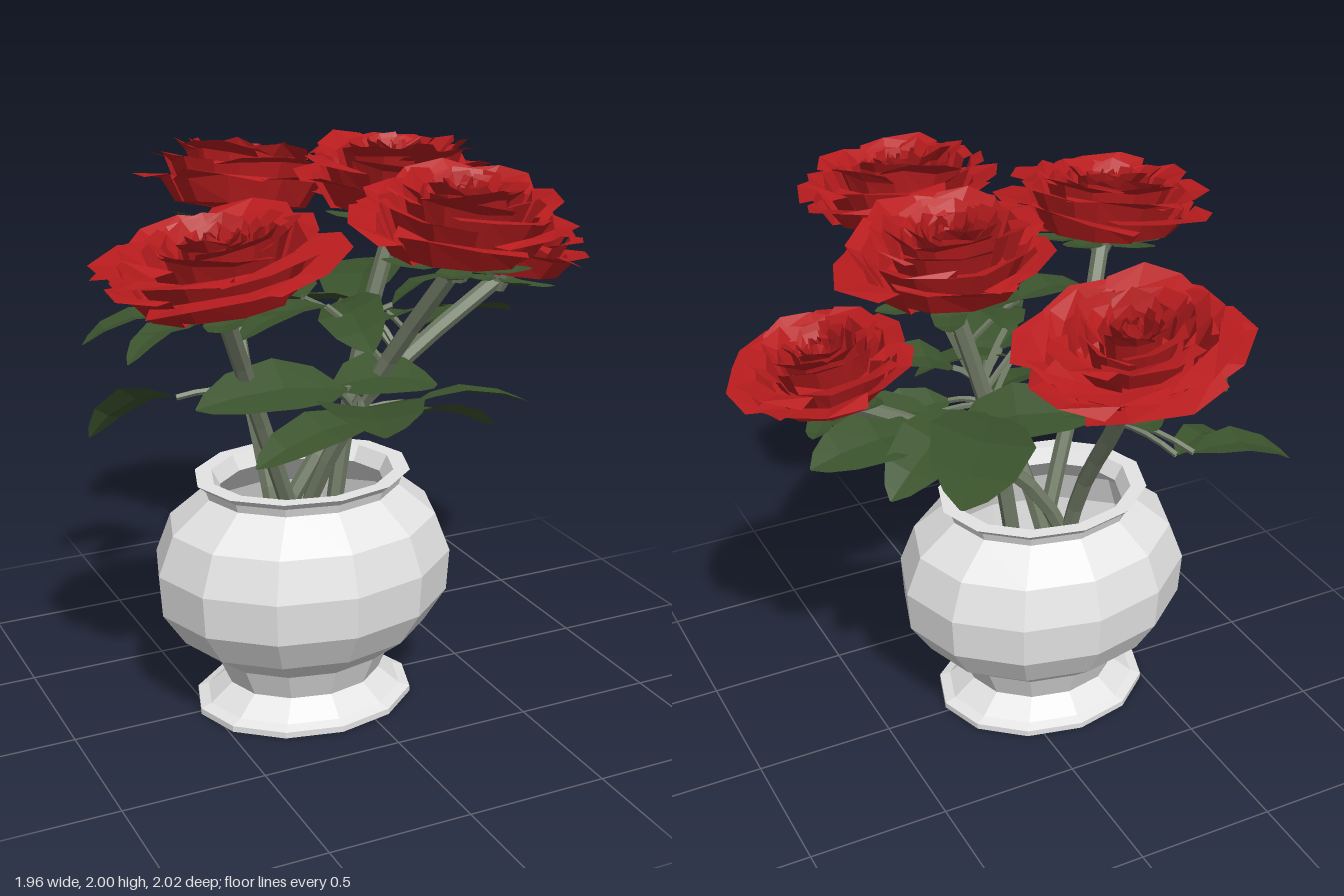
import * as THREE from 'three';
import { mergeGeometries } from 'three/addons/utils/BufferGeometryUtils.js';

const V = (p) => new THREE.Vector3(...p);

// Small seeded generator for petal irregularity
function makeRandom(seed) {
  return () => {
    seed = (seed * 16807) % 2147483647;
    return seed / 2147483647 - 0.5;
  };
}

function facet(geo) {
  const g = geo.index ? geo.toNonIndexed() : geo;
  g.computeVertexNormals();
  return g;
}

// Faceted surface through rows of points, each row of equal length
function surface(rows) {
  const n = rows[0].length;
  const index = [];
  for (let i = 0; i < rows.length - 1; i++) {
    for (let j = 0; j < n - 1; j++) {
      const a = i * n + j, b = a + n;
      index.push(a, a + 1, b, a + 1, b + 1, b);
    }
  }
  const geo = new THREE.BufferGeometry().setFromPoints(rows.flat());
  geo.setIndex(index);
  return facet(geo);
}

// Leaf blade folded along its vein, bowed upward and rolled about its length
function leafGeometry(base, tip, width, roll = 0, bow = 0.04) {
  const dir = tip.clone().sub(base);
  const axis = dir.clone().normalize();
  const side = new THREE.Vector3(0, 1, 0).cross(dir).normalize();
  const up = dir.clone().cross(side).normalize().applyAxisAngle(axis, -roll);
  side.applyAxisAngle(axis, -roll);
  const outline = [[0, 0.1], [0.16, 0.72], [0.42, 1], [0.75, 0.78], [0.92, 0.4], [1, 0.04]];
  return surface(outline.map(([t, w]) => [-1, 0, 1].map((s) =>
    base.clone().addScaledVector(dir, t)
      .addScaledVector(side, s * w * width / 2)
      .addScaledVector(up, bow * Math.sin(Math.PI * t) + Math.abs(s) * w * width * 0.08))));
}

// One cupped, angular petal swept from a radius/height profile
function petalGeometry(profile, angle, half, rand) {
  const spread = [0.7, 1, 1, 0.85];
  const tilt = rand() * 0.05, reach = 1 + rand() * 0.16;
  return surface(profile.map(([r, y], i) => [-1, -0.4, 0.35, 1].map((u) => {
    const a = angle + u * half * spread[i];
    const lip = i === 3;
    const edge = lip ? u * u : 0;
    const rr = r * (1 + 0.07 * u) * (lip ? reach + rand() * 0.07 : 1) * (1 - 0.09 * edge);
    const yy = y + (i > 1 ? tilt * u + rand() * 0.025 : 0) - 0.02 * edge;
    return new THREE.Vector3(Math.sin(a) * rr, yy, Math.cos(a) * rr);
  })));
}

// Rings from the open outer petals to the tight heart: count, half angle, profile
const RINGS = [
  [5, 0.78, [[0.05, 0], [0.23, 0.02], [0.285, 0.11], [0.36, 0.125]]],
  [5, 0.78, [[0.05, 0.01], [0.21, 0.05], [0.265, 0.17], [0.335, 0.19]]],
  [5, 0.75, [[0.05, 0.03], [0.17, 0.09], [0.205, 0.2], [0.265, 0.235]]],
  [4, 0.9, [[0.04, 0.05], [0.13, 0.1], [0.15, 0.2], [0.195, 0.245]]],
  [4, 0.9, [[0.03, 0.06], [0.09, 0.11], [0.1, 0.2], [0.13, 0.245]]],
  [3, 1.15, [[0.02, 0.07], [0.06, 0.12], [0.065, 0.19], [0.08, 0.235]]],
  [3, 1.15, [[0.01, 0.08], [0.03, 0.12], [0.035, 0.19], [0.025, 0.235]]],
];

// Flower head with petals, sepals and calyx, standing on its own origin
function rose(mats, seed) {
  const rand = makeRandom(seed * 7919);
  const head = new THREE.Group();
  const petals = RINGS.flatMap(([n, half, profile], k) =>
    Array.from({ length: n }, (_, i) =>
      petalGeometry(profile, (i / n) * Math.PI * 2 + k * 0.65 + seed + rand() * 0.2, half, rand)));
  const bloom = new THREE.Mesh(mergeGeometries(petals), mats.red);
  bloom.name = 'petals';
  const blades = Array.from({ length: 5 }, (_, i) => {
    const a = (i / 5) * Math.PI * 2 + seed;
    const at = (r, y) => new THREE.Vector3(Math.sin(a) * r, y, Math.cos(a) * r);
    return leafGeometry(at(0.03, -0.02), at(0.25, -0.02 + rand() * 0.05), 0.12, 0, -0.02);
  });
  const sepals = new THREE.Mesh(mergeGeometries(blades), mats.leaf);
  sepals.name = 'sepals';
  const calyx = new THREE.Mesh(facet(new THREE.CylinderGeometry(0.07, 0.032, 0.1, 7)), mats.stem);
  calyx.name = 'calyx';
  calyx.position.y = -0.03;
  head.add(bloom, sepals, calyx);
  return head;
}

// Stem path, flower axis and flower width/depth scale
const FLOWERS = [
  { name: 'backRose', path: [[-0.2, 0.35, 0.05], [-0.24, 0.87, -0.08], [-0.23, 1.25, -0.32], [-0.19, 1.45, -0.47], [-0.08, 1.62, -0.66]], axis: [0.15, 1, -0.2], scale: [1.02, 1, 0.87] },
  { name: 'middleRose', path: [[-0.06, 0.35, 0.02], [0.01, 0.87, 0.01], [0.1, 1.3, 0], [0.23, 1.72, -0.01]], axis: [0.05, 1, -0.03], scale: [1.01, 1, 0.96] },
  { name: 'leftRose', path: [[-0.35, 0.35, 0], [-0.1, 0.87, 0], [0.25, 1.19, -0.01], [0.67, 1.45, -0.04]], axis: [0.18, 1, 0], scale: [0.84, 0.86, 0.82] },
  { name: 'rightRose', path: [[-0.08, 0.35, 0.02], [-0.27, 0.87, 0.14], [-0.42, 1.25, 0.24], [-0.58, 1.6, 0.41]], axis: [-0.14, 1, 0.07], scale: [1.12, 0.96, 0.9] },
  { name: 'frontRose', path: [[-0.2, 0.35, -0.05], [-0.12, 0.87, 0.12], [0.02, 1.3, 0.32], [0.13, 1.71, 0.61]], axis: [0.03, 1, 0.1], scale: [1.01, 1, 0.86] },
];

// Leaf base, tip, width, roll and bow
const LEAVES = [
  [[-0.36, 1.28, -0.61], [-0.7, 1.2, -0.67], 0.17, 0, 0.05],
  [[-0.32, 1.26, -0.57], [-0.61, 1.18, -0.43], 0.14, 0, 0.05],
  [[0.18, 1.36, -0.22], [0.53, 1.38, -0.74], 0.34, 0.2],
  [[0.3, 1.32, -0.2], [-0.15, 1.36, -0.38], 0.27, -0.25],
  [[-0.16, 1.5, 0.08], [-0.2, 1.43, -0.26], 0.26],
  [[-0.03, 1.48, 0.1], [-0.1, 1.41, 0.48], 0.22, -0.35],
  [[-0.15, 1.51, 0.24], [-0.48, 1.45, 0.3], 0.18],
  [[-0.66, 1.26, 0.2], [-0.89, 1.09, -0.01], 0.18, -0.55, 0.06],
  [[-0.1, 1.2, 0.4], [-0.32, 1.33, 1], 0.34],
  [[-0.14, 1.26, 0.36], [-0.64, 1.25, 0.32], 0.27, 0.35],
  [[-0.16, 1.25, 0.3], [0.2, 1.23, 0.36], 0.25, -0.3],
  [[-0.02, 1.12, 0.3], [-0.48, 1.06, 0.42], 0.2, 0.25],
  [[0.18, 1.13, 0.24], [0.55, 1.12, 0.38], 0.18, 0.2],
  [[0.08, 1.12, 0.33], [0.43, 1.04, 0.34], 0.2, 0.35],
  [[0.36, 1.28, -0.1], [0.79, 1.28, -0.16], 0.26, 0.25],
  [[0.22, 1.32, -0.1], [0.6, 1.22, -0.36], 0.24, 0.2],
  [[0.2, 1.42, 0.03], [0.46, 1.49, 0.05], 0.16, 0.2],
];

export function createModel() {
  const make = (name, color) => {
    const m = new THREE.MeshStandardMaterial({ color, side: THREE.DoubleSide });
    m.name = name;
    return m;
  };
  const mats = {
    vase: make('pale grey', 0xe4e4e4),
    red: make('rose red', 0xb81c1e),
    leaf: make('leaf green', 0x3b532d),
    stem: make('stem green', 0x727c67),
  };
  const model = new THREE.Group();
  model.name = 'roseVase';

  // Twelve-sided oval vase with a foot, flared lip and hollow inside
  const profile = [
    [0, 0], [0.4, 0], [0.4, 0.022], [0.36, 0.035], [0.28, 0.1], [0.325, 0.2], [0.45, 0.29], [0.53, 0.41],
    [0.54, 0.56], [0.485, 0.7], [0.35, 0.81], [0.36, 0.84], [0.39, 0.865], [0.33, 0.865], [0.3, 0.81],
    [0.44, 0.69], [0.49, 0.56], [0.48, 0.42], [0.4, 0.3], [0.27, 0.2], [0, 0.18],
  ].map(([r, y]) => new THREE.Vector2(r, y));
  const vase = new THREE.Mesh(facet(new THREE.LatheGeometry(profile, 12)), mats.vase);
  vase.name = 'vase';
  vase.scale.z = 0.83;
  vase.position.set(-0.14, 0, 0.02);
  model.add(vase);

  // Stems and flower heads
  const curves = FLOWERS.map(({ name, path, axis, scale }, i) => {
    const curve = new THREE.CatmullRomCurve3(path.map(V));
    const stem = new THREE.Mesh(facet(new THREE.TubeGeometry(curve, 10, 0.03, 6)), mats.stem);
    stem.name = name + 'Stem';
    const head = rose(mats, i + 3);
    head.name = name;
    head.position.copy(curve.getPoint(1)).y += 0.02;
    head.quaternion.setFromUnitVectors(new THREE.Vector3(0, 1, 0), V(axis).normalize());
    head.scale.set(...scale);
    model.add(stem, head);
    return curve;
  });

  // Leaves, each joined by a twig to the nearest stem a little lower down
  const stemPoints = curves.flatMap((c) => c.getPoints(40)).filter((p) => p.y > 0.95);
  LEAVES.forEach(([b, t, ...shape]) => {
    const base = V(b), tip = V(t);
    const aim = base.clone();
    aim.y -= 0.1;
    const root = stemPoints.reduce((best, p) =>
      (p.distanceTo(aim) < best.distanceTo(aim) ? p : best)).clone();
    const bend = root.clone().lerp(base, 0.5);
    bend.y += 0.03;
    const twigPath = new THREE.QuadraticBezierCurve3(root, bend, base);
    const twig = new THREE.Mesh(facet(new THREE.TubeGeometry(twigPath, 4, 0.011, 5)), mats.stem);
    twig.name = 'twig';
    const leaf = new THREE.Mesh(leafGeometry(base, tip, ...shape), mats.leaf);
    leaf.name = 'leaf';
    model.add(twig, leaf);
  });
  return model;
}
